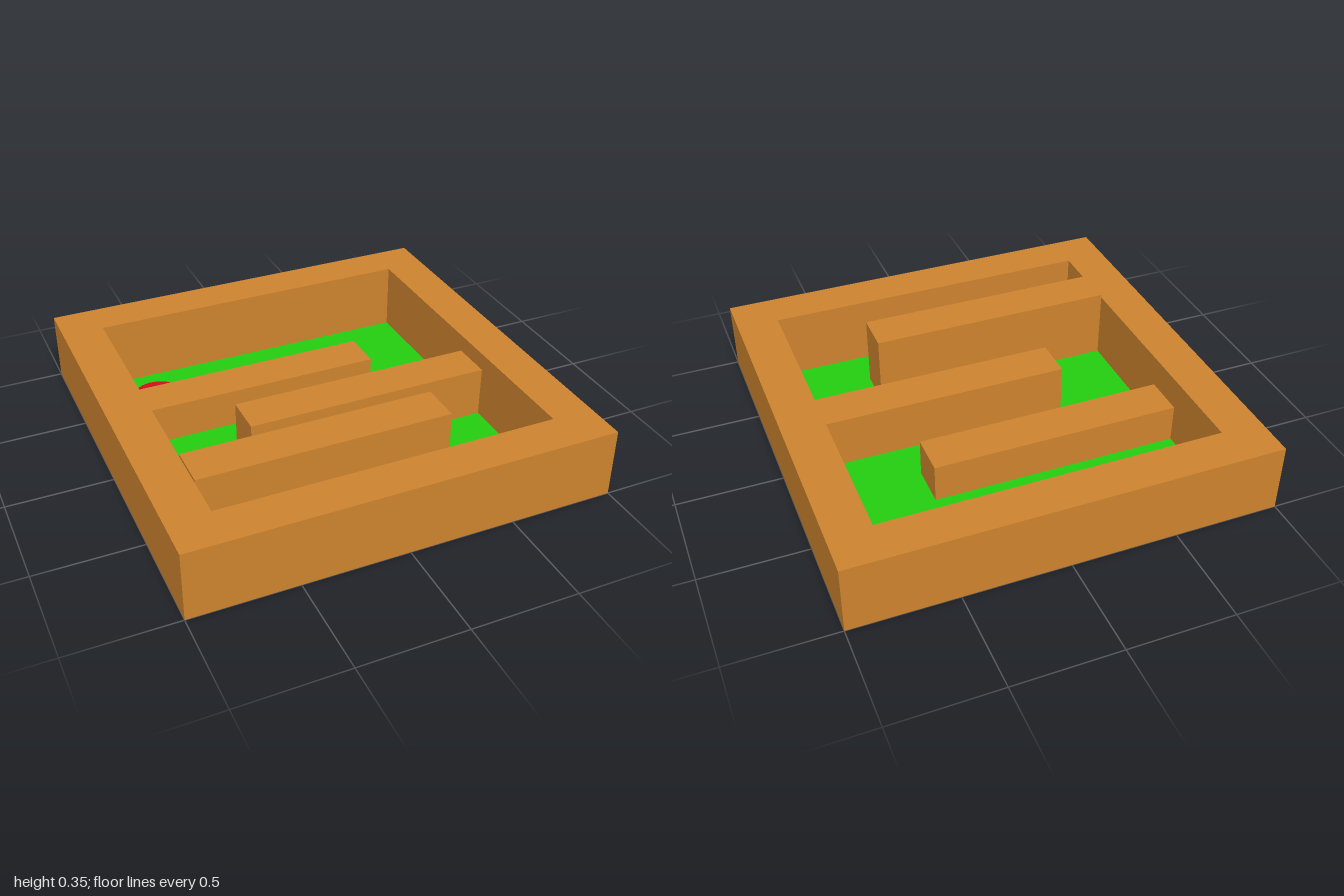
import * as THREE from 'three';

const paint = (color) => new THREE.MeshStandardMaterial({ color, side: THREE.DoubleSide });
const wood = paint(0xcc822e);
const grass = paint(0x24cc0f);
const red = paint(0xcc0f1c);

// Outline from [x, z] corners seen in plan
const plan = (points) => new THREE.Shape(points.map(([x, z]) => new THREE.Vector2(x, -z)));
const rect = (x0, x1, z0, z1) => plan([[x0, z0], [x0, z1], [x1, z1], [x1, z0]]);

// Raises an outline to a height, as a shell left open underneath
function shell(shape, height) {
  const geo = new THREE.ExtrudeGeometry(shape, { depth: height, bevelEnabled: false });
  geo.rotateX(-Math.PI / 2);
  const p = geo.attributes.position;
  const keep = [];
  for (let i = 0; i < p.count; i += 3) {
    if (Math.max(p.getY(i), p.getY(i + 1), p.getY(i + 2)) > 1e-4) keep.push(i, i + 1, i + 2);
  }
  geo.clearGroups();
  geo.setIndex(keep);
  return geo;
}

export function createModel() {
  const model = new THREE.Group();
  const add = (name, geometry, material) => {
    const mesh = new THREE.Mesh(geometry, material);
    mesh.name = name;
    model.add(mesh);
    return mesh;
  };

  // Square border wall
  const border = rect(-1, 1, -1, 1);
  border.holes.push(rect(-0.8, 0.8, -0.8, 0.8));
  add('borderWall', shell(border, 0.333), wood);

  // Three barriers of rising height, from alternate sides
  const barriers = [
    ['backBarrier', -0.8, 0.4, -0.4, 0.187],
    ['middleBarrier', -0.4, 0.8, 0, 0.25],
    ['frontBarrier', -0.8, 0.4, 0.4, 0.347],
  ];
  for (const [name, x0, x1, z, height] of barriers) {
    add(name, shell(rect(x0, x1, z, z + 0.2), height), wood);
  }

  // Winding lawn between the barriers
  const lawn = new THREE.ShapeGeometry(plan([
    [-0.8, -0.8], [-0.8, -0.4], [0.4, -0.4], [0.4, -0.2], [-0.8, -0.2],
    [-0.8, 0.4], [0.4, 0.4], [0.4, 0.6], [-0.8, 0.6], [-0.8, 0.8],
    [0.8, 0.8], [0.8, 0.2], [-0.4, 0.2], [-0.4, 0], [0.8, 0], [0.8, -0.8],
  ]));
  add('lawn', lawn.rotateX(-Math.PI / 2), grass);

  // Flat ring marking the goal
  const ring = new THREE.RingGeometry(0.075, 0.125, 48).rotateX(-Math.PI / 2);
  add('goalRing', ring, red).position.set(-0.6, 0.003, -0.6);

  return model;
}
